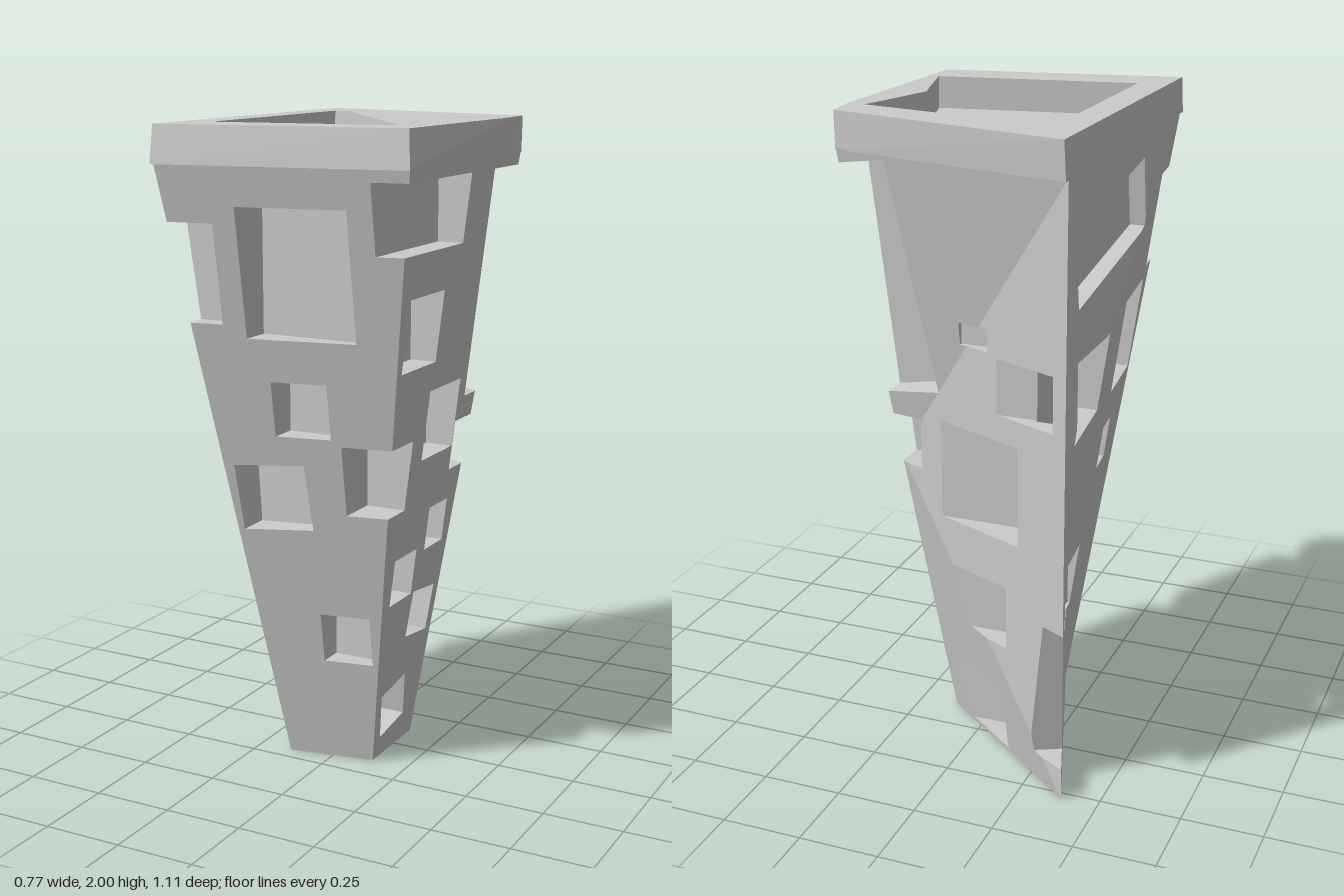
import * as THREE from 'three';

const EPS = 1e-5;
const V = (x, y, z) => new THREE.Vector3(x, y, z);

// --- small solid carving kit: polygons are arrays of points with a plane ---
function poly(points, plane) {
  points.plane = plane || new THREE.Plane().setFromCoplanarPoints(points[0], points[1], points[2]);
  return points;
}
const flip = (p) => poly([...p].reverse(), p.plane.clone().negate());

// Cut one polygon by a plane into front and back pieces
function split(p, plane, front, back) {
  const d = p.map((v) => plane.distanceToPoint(v));
  const hasFront = d.some((v) => v > EPS), hasBack = d.some((v) => v < -EPS);
  if (!hasFront && !hasBack) return (p.plane.normal.dot(plane.normal) > 0 ? front : back).push(p);
  if (!hasBack) return front.push(p);
  if (!hasFront) return back.push(p);
  const f = [], b = [];
  p.forEach((v, i) => {
    const j = (i + 1) % p.length;
    if (d[i] >= -EPS) f.push(v);
    if (d[i] <= EPS) b.push(v);
    if ((d[i] > EPS && d[j] < -EPS) || (d[i] < -EPS && d[j] > EPS)) {
      const m = v.clone().lerp(p[j], d[i] / (d[i] - d[j]));
      f.push(m);
      b.push(m);
    }
  });
  if (f.length > 2) front.push(poly(f, p.plane));
  if (b.length > 2) back.push(poly(b, p.plane));
}

function tree(polys) {
  if (!polys.length) return null;
  const plane = polys[0].plane, front = [], back = [];
  for (const p of polys.slice(1)) {
    const d = p.map((v) => Math.abs(plane.distanceToPoint(v)));
    if (Math.max(...d) > EPS) split(p, plane, front, back);
  }
  return { plane, front: tree(front), back: tree(back) };
}

// Keep the pieces inside or outside the solid described by the tree
function clip(node, polys, inside) {
  const front = [], back = [];
  for (const p of polys) split(p, node.plane, front, back);
  const f = node.front ? clip(node.front, front, inside) : inside ? [] : front;
  const b = node.back ? clip(node.back, back, inside) : inside ? back : [];
  return f.concat(b);
}
const subtract = (a, b) => clip(tree(b), a, false).concat(clip(tree(a), b, true).map(flip));

// Solid between two outlines of [x, z] points
function loft(bottom, y0, top, y1) {
  const b = bottom.map(([x, z]) => V(x, y0, z)), t = top.map(([x, z]) => V(x, y1, z));
  const out = [], n = b.length;
  for (let i = 0; i < n; i++) {
    const j = (i + 1) % n;
    out.push(poly([b[i], b[j], t[j]]), poly([b[i], t[j], t[i]]));
    if (i > 0 && i < n - 1) out.push(poly([t[0], t[i], t[j]]), poly([b[0], b[j], b[i]]));
  }
  return out;
}

// Axis-aligned block, optionally turned about its centre
function block([x0, x1, y0, y1, z0, z1, rx = 0, rz = 0, ry = 0]) {
  const o = [[x0, z1], [x1, z1], [x1, z0], [x0, z0]];
  const c = V((x0 + x1) / 2, (y0 + y1) / 2, (z0 + z1) / 2), e = new THREE.Euler(rx, ry, rz, 'YXZ');
  return loft(o, y0, o, y1).map((p) => poly(p.map((v) => v.clone().sub(c).applyEuler(e).add(c))));
}

function mesh(name, polys) {
  const pos = [];
  for (const p of polys)
    for (let i = 1; i < p.length - 1; i++)
      for (const v of [p[0], p[i], p[i + 1]]) pos.push(v.x, v.y, v.z);
  const g = new THREE.BufferGeometry();
  g.setAttribute('position', new THREE.Float32BufferAttribute(pos, 3));
  g.computeVertexNormals();
  const m = new THREE.Mesh(g, new THREE.MeshStandardMaterial({ color: 0xcccccc, flatShading: true }));
  m.name = name;
  return m;
}

// Tapered tower: four corners, with a crease point on the back right and back left edges
function taperedBody() {
  const a0 = V(-0.14, 0, 0.2), b0 = V(0.13, 0, 0.15), c0 = V(0.13, 0, -0.12), d0 = V(-0.385, 0, -0.53);
  const a1 = V(-0.38, 1.893, 0.54), b1 = V(0.37, 1.893, 0.4), c1 = V(0.37, 1.893, -0.39), d1 = V(-0.385, 1.893, -0.53);
  const m = c0.clone().lerp(c1, 0.49), n = d0.clone().lerp(d1, 0.57);
  return [
    [a0, b0, b1], [a0, b1, a1], // front
    [b0, c0, c1], [b0, c1, b1], // right
    [c0, d0, m], [d0, d1, m], [d1, c1, m], // back
    [d0, a0, n], [a0, a1, n], [a1, d1, n], // left
    [a1, b1, c1], [a1, c1, d1], [a0, c0, b0], [a0, d0, c0], // ends
  ].map((t) => poly(t));
}

// Openings as [x0, x1, y0, y1, z0, z1, turn about x, turn about z, turn about y]
const frontWindows = [
  [-0.15, 0.18, 1.38, 1.77, 0.32, 0.8],
  [-0.09, 0.08, 1.08, 1.25, 0.27, 0.7],
  [-0.225, -0.005, 0.775, 0.985, 0.23, 0.7, 0, 0.06],
  [0, 0.155, 0.34, 0.5, 0.15, 0.6],
];
const rightWindows = [
  [0.21, 0.7, 1.29, 1.51, 0.06, 0.29],
  [0.165, 0.7, 0.98, 1.2, -0.15, 0.07],
  [0.14, 0.6, 0.66, 0.8, -0.17, -0.04],
  [0.12, 0.6, 0.53, 0.68, 0.02, 0.17],
  [0.1, 0.6, 0.37, 0.52, -0.145, 0.01, -0.13],
  [0.06, 0.6, 0.08, 0.23, -0.03, 0.13, 0.17],
];
const cornerNotches = [
  [0.255, 0.8, 1.64, 1.85, -0.03, 0.8],
  [0.11, 0.6, 0.84, 1.06, 0.15, 0.7],
  [-0.8, -0.22, 1.42, 1.72, 0.385, 0.9],
  [0.147, 0.547, 1.127, 1.847, -0.7, -0.2, 0, -0.165],
  [0.165, 0.6, 0.9, 1.06, -0.6, -0.153],
  [-0.534, -0.234, 0.1, 0.54, -0.65, -0.45, -0.09, 0, 0.46],
];
const backWindows = [
  [-0.34, 0, 1.16, 1.33, -0.8, -0.42],
  [-0.27, 0.3, 0.77, 1.08, -0.455, -0.325],
  [-0.17, 0.1, 0.42, 0.62, -0.7, -0.34],
  [-0.14, 0.2, 0.012, 0.24, -0.6, -0.2],
  [-0.1, 0, 1.34, 1.41, -0.6, -0.355],
];
const leftWindows = [
  [-0.7, -0.33, 1.55, 1.77, -0.45, 0.18, -0.15],
  [-0.7, -0.235, 1.08, 1.38, 0.1, 0.37],
  [-0.7, -0.26, 1.1, 1.35, -0.43, -0.12],
  [-0.7, -0.21, 0.83, 0.97, 0.07, 0.18],
  [-0.7, -0.212, 0.38, 0.59, -0.21, 0],
];

export function createModel() {
  const group = new THREE.Group();
  group.name = 'tower';

  // Tower body with carved openings
  let body = taperedBody();
  for (const list of [frontWindows, rightWindows, cornerNotches, backWindows, leftWindows])
    for (const w of list) body = subtract(body, block(w));
  group.add(mesh('towerBody', body));

  // Roof rim with a sunken terrace
  const rimLow = [[-0.385, 0.55], [0.375, 0.412], [0.372, -0.27], [0.372, -0.388], [-0.385, -0.55]];
  const rimHigh = [[-0.385, 0.53], [0.365, 0.397], [0.385, -0.27], [0.374, -0.388], [-0.38, -0.555]];
  const well = [[0.255, -0.01], [0.33, -0.28], [-0.29, -0.39], [-0.29, 0.365], [0.335, 0.265]];
  const wellFloor = [[0.255, -0.01], [0.33, -0.25], [-0.29, -0.385], [-0.29, 0.365], [0.335, 0.265]];
  const rim = loft(rimLow, 1.887, rimHigh, 2);
  group.add(mesh('roofRim', subtract(rim, loft(wellFloor, 1.9, well, 2.01))));
  return group;
}
